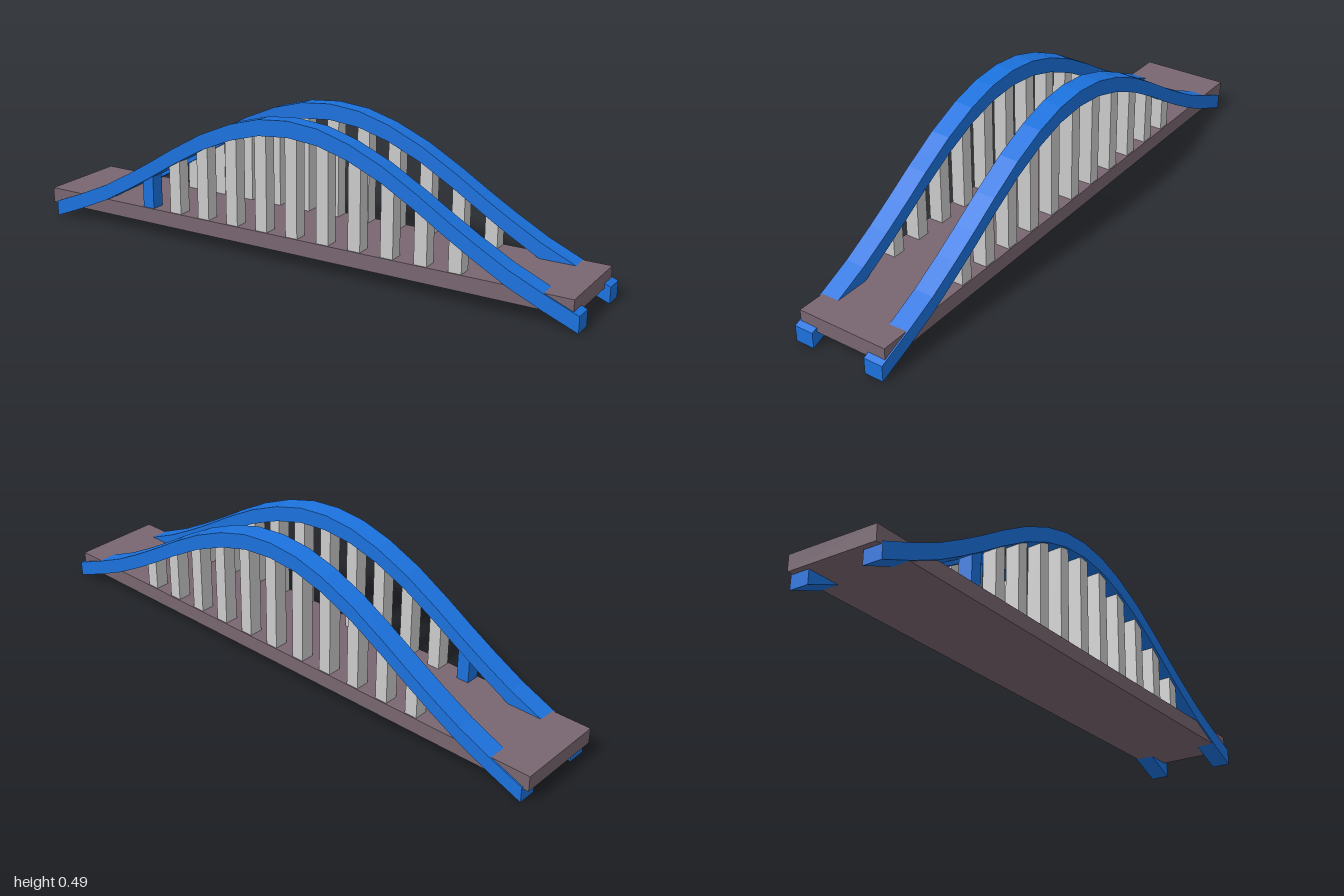
import * as THREE from 'three';

const blue = new THREE.MeshStandardMaterial({ color: 0x1b72de, flatShading: true });
const brown = new THREE.MeshStandardMaterial({ color: 0x786670, flatShading: true });
const grey = new THREE.MeshStandardMaterial({ color: 0xcccccc, flatShading: true });

// Upper edge of the arch: [distance from the crown, height]
const MID = 0.01, THICK = 0.054;
const half = [[0, 0.487], [0.11, 0.477], [0.22, 0.446], [0.34, 0.394], [0.46, 0.326],
  [0.56, 0.264], [0.65, 0.211], [0.76, 0.151], [0.875, 0.1], [0.99, 0.054]];
const topEdge = [
  ...half.slice(1).reverse().map(([d, y]) => [MID - d, y]),
  ...half.map(([d, y]) => [MID + d, y]),
];

function archTop(x) {
  const d = Math.abs(x - MID);
  const i = Math.max(1, half.findIndex(p => p[0] >= d));
  const [a, b] = [half[i - 1], half[i]];
  return a[1] + (b[1] - a[1]) * (d - a[0]) / (b[0] - a[0]);
}

function box(name, material, size, position) {
  const mesh = new THREE.Mesh(new THREE.BoxGeometry(...size), material);
  mesh.name = name;
  mesh.position.set(...position);
  return mesh;
}

// Faceted bell-shaped band, its upper face leaning slightly across its width
function archGeometry() {
  const width = 0.066;
  const outline = [
    ...topEdge.map(([x, y]) => new THREE.Vector2(x, y - THICK)),
    ...topEdge.slice().reverse().map(([x, y]) => new THREE.Vector2(x, y)),
  ];
  const geo = new THREE.ExtrudeGeometry(new THREE.Shape(outline), { depth: width, bevelEnabled: false });
  geo.translate(0, 0, -width / 2);
  const p = geo.attributes.position;
  for (let i = 0; i < p.count; i++) {
    if (p.getZ(i) > 0) p.setY(i, p.getY(i) + 0.004 * p.getY(i) / 0.487);
  }
  geo.computeVertexNormals();
  return geo;
}

export function createModel() {
  const bridge = new THREE.Group();
  bridge.name = 'archBridge';

  // Deck
  bridge.add(box('deck', brown, [1.98, 0.053, 0.316], [-0.01, 0.0735, 0]));

  // Arches and hangers on both sides
  const geo = archGeometry();
  for (const side of [1, -1]) {
    const label = side > 0 ? 'front' : 'back';
    const arch = new THREE.Mesh(geo, blue);
    arch.name = label + 'Arch';
    arch.position.z = side * 0.13;
    bridge.add(arch);

    const hangers = new THREE.Group();
    hangers.name = label + 'Hangers';
    for (let i = 0; i < 11; i++) {
      const x = -0.565 + i * 0.1165;
      const top = Math.min(archTop(x - 0.022), archTop(x + 0.022)) - 0.02;
      const bottom = 0.08;
      // One end hanger is painted like the arch
      const material = side > 0 && i === 0 ? blue : grey;
      hangers.add(box('hanger', material, [0.044, top - bottom, 0.048], [x, (top + bottom) / 2, side * 0.13]));
    }
    bridge.add(hangers);
  }
  return bridge;
}
